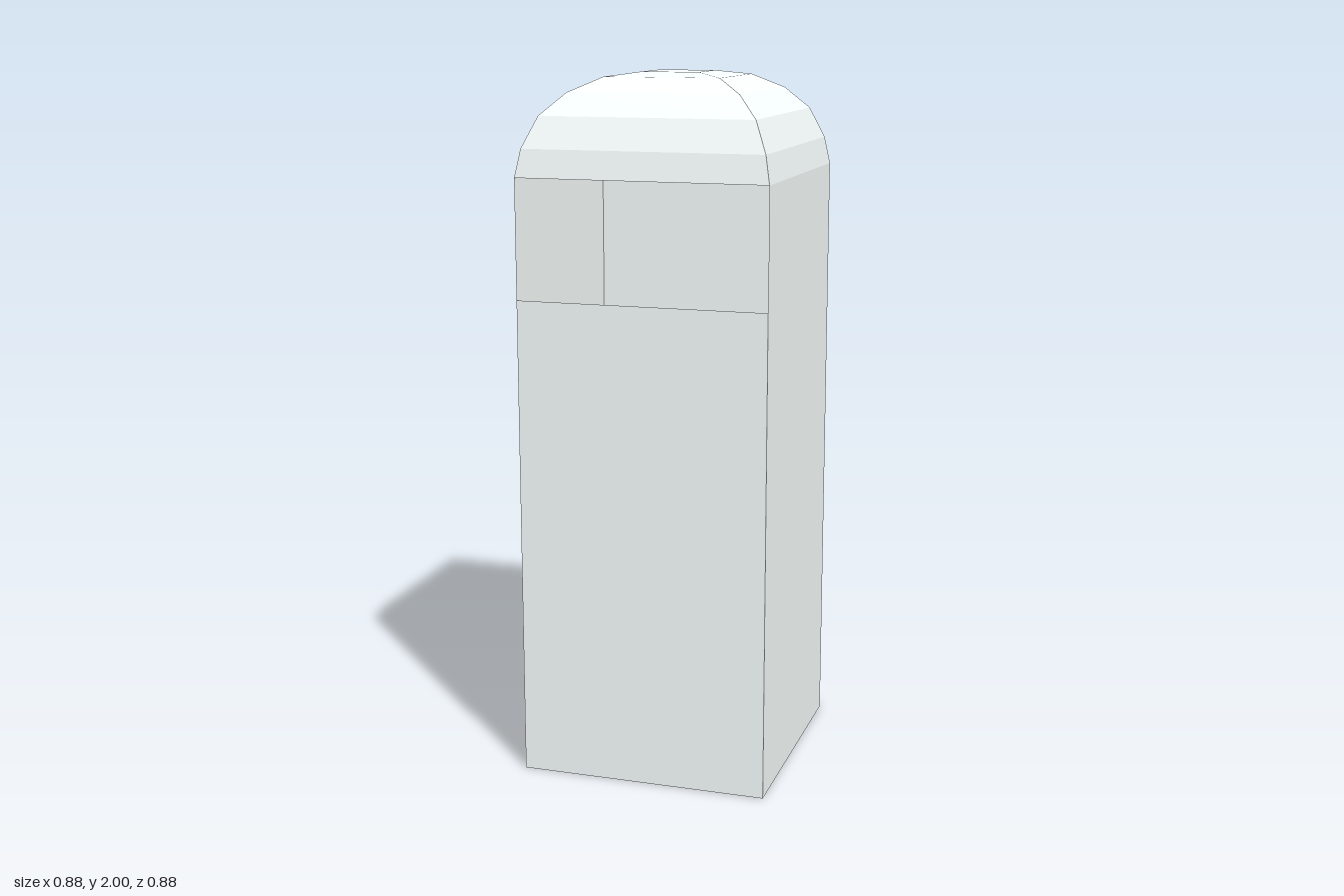
import * as THREE from 'three';

const R = 0.507; // centre to corner of the square plan
const QUARTER = Math.PI / 2;
const TURN = Math.PI / 6; // angle of the first corner

// Four-sided shell swept from a [radius, height] profile; fewer sides leave it open at the front
function squareShell(name, profile, sides = 4) {
  const points = profile.map(([r, y]) => new THREE.Vector2(r * R, y));
  const geometry = new THREE.LatheGeometry(points, sides, TURN, sides * QUARTER).toNonIndexed();
  geometry.computeVertexNormals();
  const material = new THREE.MeshStandardMaterial({
    color: 0xf7fefd, flatShading: true, side: THREE.DoubleSide,
  });
  const mesh = new THREE.Mesh(geometry, material);
  mesh.name = name;
  return mesh;
}

export function createModel() {
  const model = new THREE.Group();
  model.name = 'bollard';

  // Hollow post with a closed underside
  model.add(squareShell('post', [[0, 0], [1, 0], [1, 1.385]]));

  // Three walls around the full-width front opening
  model.add(squareShell('openingWalls', [[1, 1.385], [1, 1.722]], 3));

  // Rounded cap with a small flat top
  model.add(squareShell('cap', [
    [1, 1.722], [0.96, 1.80], [0.855, 1.887], [0.685, 1.948],
    [0.465, 1.988], [0.23, 2], [0, 2],
  ]));

  return model;
}
